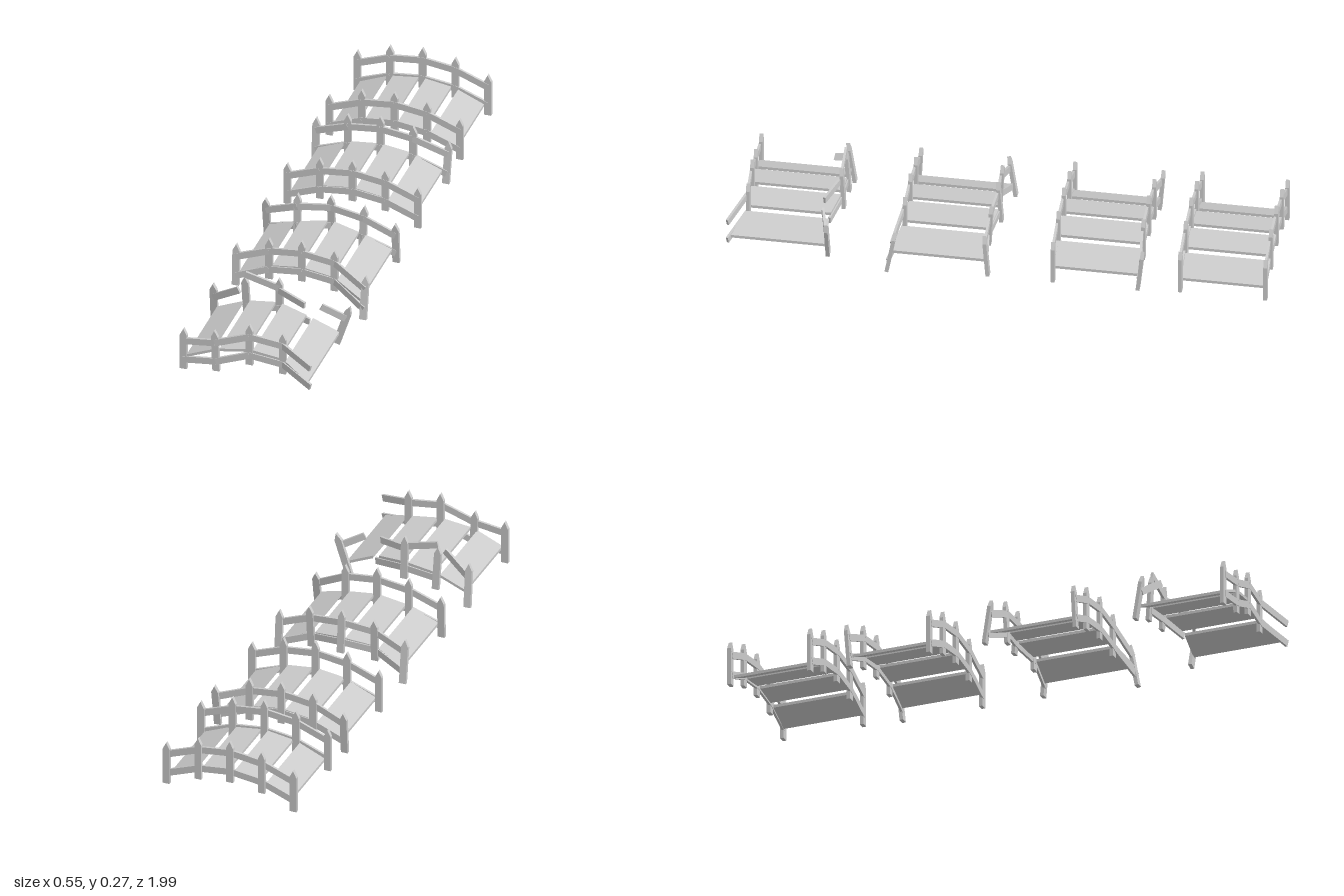
import * as THREE from 'three';

const mat = new THREE.MeshStandardMaterial({ color: 0xcccccc, flatShading: true });
const POST_H = 0.172;
// Five posts, evenly spaced; feet and deck follow a shallow arch
const postX = (i) => 0.1255 * i - 0.262;
const footY = (i) => 0.1 - 0.016 * (i - 2) ** 2;
const deckY = (i) => 0.142 - 0.018 * (i - 2) ** 2;

// Pointed picket, foot at the origin
function postGeometry() {
  const w = 0.0135, shoulder = POST_H - 0.028;
  const s = new THREE.Shape().moveTo(-w, 0).lineTo(w, 0).lineTo(w, shoulder).lineTo(0, POST_H).lineTo(-w, shoulder);
  return new THREE.ExtrudeGeometry(s, { depth: 0.014, bevelEnabled: false }).translate(0, 0, -0.007);
}

function add(group, geo, name) {
  const m = new THREE.Mesh(geo, mat);
  m.name = name;
  group.add(m);
}

// Flat bar from a to b
function rail(group, a, b, name) {
  const dir = b.clone().sub(a), len = dir.length();
  dir.normalize();
  const side = new THREE.Vector3(-dir.z, 0, dir.x).normalize();
  const frame = new THREE.Matrix4().makeBasis(dir, side.clone().cross(dir), side);
  frame.setPosition(a.clone().lerp(b, 0.5));
  add(group, new THREE.BoxGeometry(len, 0.026, 0.009).applyMatrix4(frame), name);
}

// Sloping board; its ends follow the fences at both sides
function plank(group, i, back, front) {
  const g = new THREE.BoxGeometry(1, 0.011, 1), p = g.attributes.position;
  for (let k = 0; k < p.count; k++) {
    const t = p.getX(k) > 0 ? 0.89 : 0.1;
    const ends = p.getZ(k) > 0 ? front : back;
    const mix = (f) => THREE.MathUtils.lerp(f(i), f(i + 1), t);
    p.setXYZ(k, mix(postX), p.getY(k) + mix(deckY), mix((n) => ends[n]));
  }
  g.computeVertexNormals();
  add(group, g, 'deckPlank');
}

// One fence. posts: changes to single posts; rails: how far the end of a rail
// has come off its post (from, to), or null where the rail is gone.
// Returns the z of each post at deck height.
function fence(group, sag, { z, posts = {}, rails = {} }) {
  const frames = [];
  for (let i = 0; i < 5; i++) {
    const { dx = 0, dy = 0, dz = 0, leanX = 0, leanZ = 0, lost = false } = posts[i] ?? {};
    const m = new THREE.Matrix4().makeRotationFromEuler(new THREE.Euler(leanZ, 0, -leanX));
    m.setPosition(postX(i) + dx, footY(i) - sag + dy, z + dz);
    frames.push(m);
    if (!lost) add(group, postGeometry().applyMatrix4(m), 'post');
  }
  const at = (i, h) => new THREE.Vector3(0, h, 0.004).applyMatrix4(frames[i]);
  for (let i = 0; i < 4; i++) {
    for (const [name, h] of [['upper', 0.12], ['lower', 0.041]]) {
      const off = rails[name + i];
      if (off === null) continue;
      const a = at(i, h), b = at(i + 1, h);
      if (off?.from) a.add(off.from);
      if (off?.to) b.add(off.to);
      rail(group, a, b, name + 'Rail');
    }
  }
  return frames.map((_, i) => at(i, 0.041).z);
}

const shift = (x, y, z) => new THREE.Vector3(x, y, z);

// Four states of the same bridge, from sound to broken
const BRIDGES = [
  { name: 'soundBridge', sag: 0, back: { z: -0.992 }, front: { z: -0.678 } },
  {
    name: 'wornBridge', sag: 0.01,
    back: { z: -0.522, posts: { 0: { leanZ: -0.08 }, 4: { leanX: 0.03, leanZ: -0.11 } } },
    front: { z: -0.21 },
  },
  {
    name: 'saggingBridge', sag: 0.012,
    back: {
      z: 0.045,
      posts: {
        0: { dz: -0.037, leanZ: 0.15 },
        1: { leanZ: -0.05 },
        2: { dz: -0.025, leanZ: 0.08 },
        3: { leanX: 0.03, leanZ: -0.05 },
        4: { dz: -0.015, leanZ: 0.08 },
      },
    },
    front: { z: 0.355, posts: { 0: { dz: 0.01, leanZ: -0.05 }, 4: { dy: -0.022, dz: 0.047, leanZ: -0.18 } } },
  },
  {
    name: 'brokenBridge', sag: 0.018,
    back: {
      z: 0.6,
      posts: {
        0: { leanX: 0.02, leanZ: 0.15 },
        1: { leanX: -0.03, leanZ: 0.08 },
        2: { leanZ: 0.06 },
        3: { dz: 0.03, lost: true },
        4: { dx: -0.026, dy: 0.012, dz: 0.022, leanX: 0.31 },
      },
      rails: {
        upper0: { from: shift(0, -0.01, 0), to: shift(-0.01, 0.015, 0.04) },
        lower0: null,
        upper1: { from: shift(0, 0.06, 0), to: shift(0, 0.01, 0) },
        upper2: { to: shift(-0.012, 0, 0.02) },
        upper3: { from: shift(0.05, 0.005, 0.015) },
        lower3: null,
      },
    },
    front: {
      z: 0.945,
      posts: {
        1: { dy: -0.032, leanX: -0.04 },
        2: { dz: -0.008 },
        3: { dz: -0.013 },
        4: { dy: 0.008, dz: 0.04, lost: true },
      },
    },
  },
];

export function createModel() {
  const model = new THREE.Group();
  model.name = 'footbridges';
  for (const { name, sag, back, front } of BRIDGES) {
    const bridge = new THREE.Group();
    bridge.name = name;
    const backZ = fence(bridge, sag, back);
    const frontZ = fence(bridge, sag, front);
    for (let i = 0; i < 4; i++) plank(bridge, i, backZ, frontZ);
    model.add(bridge);
  }
  return model;
}
